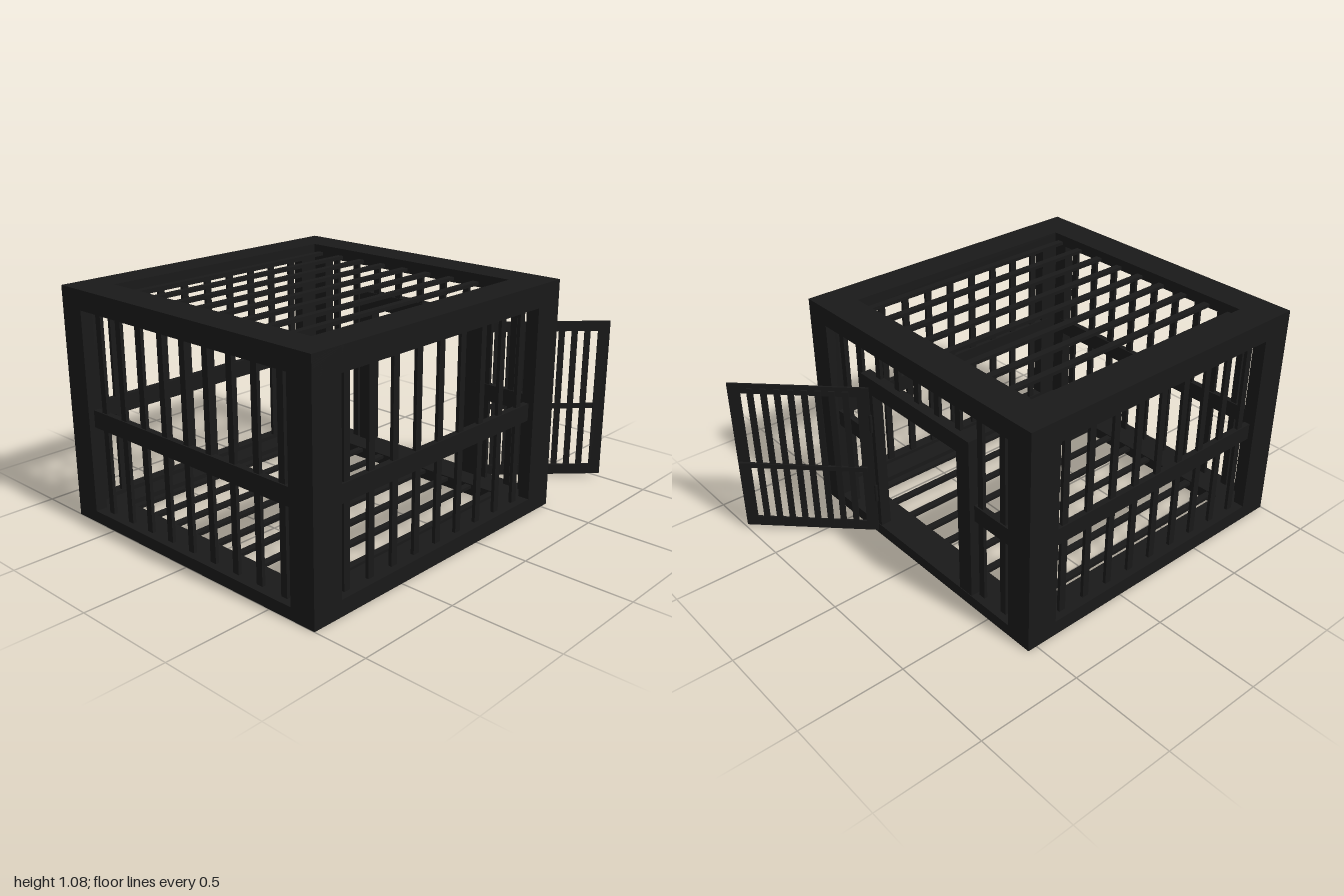
import * as THREE from 'three';

const iron = new THREE.MeshStandardMaterial({ color: 0x191919 });

// Cage limits
const X0 = -1, X1 = 0.545, Y1 = 1.075, Z0 = -0.76, Z1 = 0.745;
const PLATE = 0.055; // depth of the flat frame around each panel
const INSET = 0.042; // distance of the bars from the outer faces
const BAR = 0.033, BAR_T = 0.016, STEP = 0.1385;
const RAIL_Y0 = 0.45, RAIL_Y1 = 0.53, RAIL_T = 0.03;
// Doorway limits
const DOOR_Z0 = -0.386, DOOR_Z1 = 0.366, DOOR_TOP = 0.85, JAMB = 0.081;

// Box given by its limits on each axis
function bar(parent, name, x0, x1, y0, y1, z0, z1) {
  const mesh = new THREE.Mesh(new THREE.BoxGeometry(x1 - x0, y1 - y0, z1 - z0), iron);
  mesh.position.set((x0 + x1) / 2, (y0 + y1) / 2, (z0 + z1) / 2);
  mesh.name = name;
  parent.add(mesh);
}

function group(parent, name) {
  const g = new THREE.Group();
  g.name = name;
  parent.add(g);
  return g;
}

// Nine evenly spaced positions about a centre
const spread = (centre) => Array.from({ length: 9 }, (_, i) => centre + (i - 4) * STEP);

// Front and back panels: flat frame, upright bars and middle rail
function buildFrontAndBack(root) {
  for (const [name, face, inward] of [['frontPanel', Z1, -1], ['backPanel', Z0, 1]]) {
    const g = group(root, name);
    const a = Math.min(face, face + inward * PLATE), b = a + PLATE;
    const z = face + inward * INSET;
    bar(g, 'framePost', X0, X0 + 0.15, 0, Y1, a, b);
    bar(g, 'framePost', X1 - 0.153, X1, 0, Y1, a, b);
    bar(g, 'frameBottom', X0, X1, 0, 0.073, a, b);
    bar(g, 'frameTop', X0, X1, 0.972, Y1, a, b);
    for (const x of spread(-0.232))
      bar(g, 'uprightBar', x - BAR / 2, x + BAR / 2, 0.05, 1, z - BAR_T / 2, z + BAR_T / 2);
    bar(g, 'middleRail', X0 + 0.1, X1 - 0.1, RAIL_Y0, RAIL_Y1, z - RAIL_T / 2, z + RAIL_T / 2);
  }
}

// Side panels; the +x one is broken by the doorway
function buildSides(root) {
  for (const [name, face, inward] of [['doorPanel', X1, -1], ['plainPanel', X0, 1]]) {
    const g = group(root, name);
    const hasDoor = inward < 0;
    const a = Math.min(face, face + inward * PLATE), b = a + PLATE;
    const x = face + inward * INSET;
    bar(g, 'framePost', a, b, 0, Y1, Z0, Z0 + 0.13);
    bar(g, 'framePost', a, b, 0, Y1, Z1 - 0.126, Z1);
    bar(g, 'frameBottom', a, b, 0, 0.053, Z0, Z1);
    bar(g, 'frameTop', a, b, 0.985, Y1, Z0, Z1);
    for (const z of spread(-0.004)) {
      const overDoor = hasDoor && z > DOOR_Z0 && z < DOOR_Z1;
      bar(g, 'uprightBar', x - BAR_T / 2, x + BAR_T / 2, overDoor ? DOOR_TOP - 0.02 : 0.04, 1, z - BAR / 2, z + BAR / 2);
    }
    const spans = hasDoor ? [[Z0 + 0.1, DOOR_Z0 + 0.02], [DOOR_Z1 - 0.02, Z1 - 0.1]] : [[Z0 + 0.1, Z1 - 0.1]];
    for (const [z0, z1] of spans)
      bar(g, 'middleRail', x - RAIL_T / 2, x + RAIL_T / 2, RAIL_Y0, RAIL_Y1, z0, z1);
  }
}

// Floor and roof panels with bars running across
function buildFloorAndRoof(root) {
  for (const [name, a] of [['floorPanel', 0], ['roofPanel', Y1 - PLATE]]) {
    const g = group(root, name);
    const b = a + PLATE;
    const y = a ? Y1 - INSET : INSET;
    bar(g, 'frameSide', X0, X0 + 0.159, a, b, Z0, Z1);
    bar(g, 'frameSide', X1 - 0.162, X1, a, b, Z0, Z1);
    bar(g, 'frameBack', X0, X1, a, b, Z0, Z0 + 0.156);
    bar(g, 'frameFront', X0, X1, a, b, Z1 - 0.157, Z1);
    for (const z of spread(-0.005))
      bar(g, 'crossBar', X0 + 0.1, X1 - 0.1, y - BAR_T / 2, y + BAR_T / 2, z - BAR / 2, z + BAR / 2);
  }
}

function buildDoorway(root) {
  const g = group(root, 'doorway');
  const a = X1 - PLATE, b = X1 - 0.003;
  bar(g, 'jamb', a, b, 0.03, DOOR_TOP, DOOR_Z0, DOOR_Z0 + JAMB);
  bar(g, 'jamb', a, b, 0.03, DOOR_TOP, DOOR_Z1 - JAMB, DOOR_Z1);
  bar(g, 'lintel', a, b, DOOR_TOP - JAMB, DOOR_TOP, DOOR_Z0, DOOR_Z1);
}

// Thin barred door standing open at 45 degrees
function buildDoor(root) {
  const g = group(root, 'door');
  g.position.set(X1, 0, 0.307);
  g.rotation.y = -Math.PI / 4;
  const W = 0.637, B = 0.02, T = 0.8, t = 0.005;
  bar(g, 'doorStile', 0, 0.055, B, T, -t, t);
  bar(g, 'doorStile', W - 0.055, W, B, T, -t, t);
  bar(g, 'doorBottomRail', 0, W, B, B + 0.05, -t, t);
  bar(g, 'doorTopRail', 0, W, T - 0.048, T, -t, t);
  for (let i = 1; i <= 8; i++) {
    const x = 0.042 + i * (W - 0.084) / 9;
    bar(g, 'doorBar', x - 0.014, x + 0.014, B + 0.02, T - 0.02, -0.014, -t + 0.001);
  }
  bar(g, 'doorMiddleRail', 0.03, W - 0.005, 0.36, 0.383, -0.018, -t);
  // Hinge barrels
  for (const y of [0.235, 0.615]) {
    const hinge = new THREE.Mesh(new THREE.CylinderGeometry(0.009, 0.009, 0.09, 12), iron);
    hinge.position.set(0, y, 0);
    hinge.name = 'hinge';
    g.add(hinge);
  }
}

export function createModel() {
  const root = new THREE.Group();
  root.name = 'cage';
  buildFrontAndBack(root);
  buildSides(root);
  buildFloorAndRoof(root);
  buildDoorway(root);
  buildDoor(root);
  return root;
}
